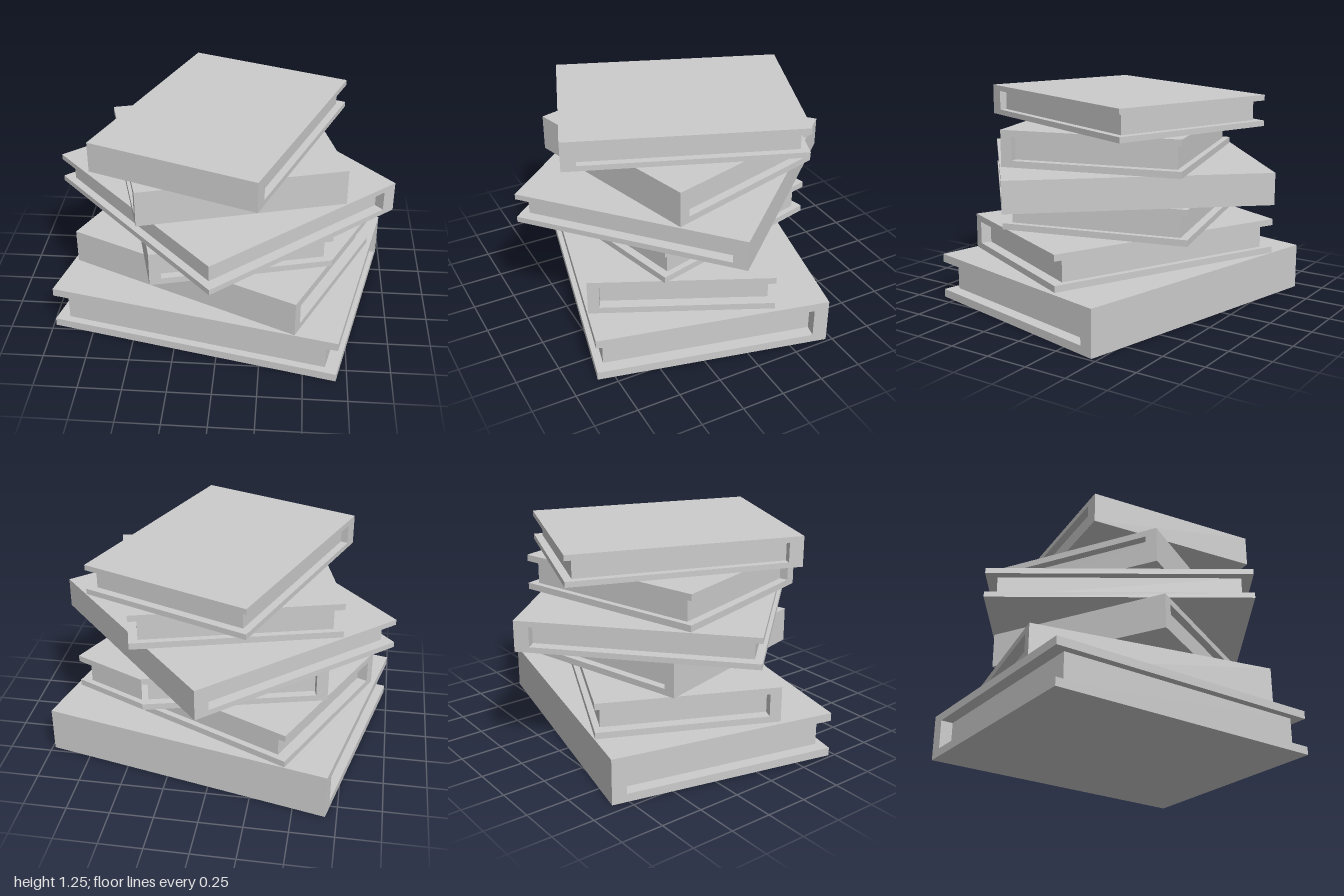
import * as THREE from 'three';

const material = new THREE.MeshStandardMaterial({ color: 0xcccccc });

// Book lying flat, base at y = 0: spine on +z, length along x
function createBook(length, width, height) {
  const book = new THREE.Group();
  const board = height * 0.18;
  const spine = width * 0.063;
  const back = -width / 2;
  const front = width / 2;
  const inner = front - spine;

  // Wrap-around cover: C-shaped section swept along the spine
  const section = new THREE.Shape([
    [back, 0], [front, 0], [front, height], [back, height],
    [back, height - board], [inner, height - board], [inner, board], [back, board],
  ].map(([x, y]) => new THREE.Vector2(x, y)));
  const coverGeometry = new THREE.ExtrudeGeometry(section, { depth: length, bevelEnabled: false });
  coverGeometry.translate(0, 0, -length / 2).rotateY(-Math.PI / 2);
  const cover = new THREE.Mesh(coverGeometry, material);
  cover.name = 'cover';

  // Page block, set back from the three open edges
  const pageBack = back + width * 0.034;
  const pages = new THREE.Mesh(
    new THREE.BoxGeometry(length * 0.914, height - 2 * board, inner - pageBack), material);
  pages.position.set(0, height / 2, (inner + pageBack) / 2);
  pages.name = 'pages';

  book.add(cover, pages);
  return book;
}

export function createModel() {
  const stack = new THREE.Group();
  stack.name = 'bookStack';

  // Bottom to top: spine length, width, base height, top height, turn in degrees
  const books = [
    [1.713, 1.344, 0, 0.27, 167.2],
    [1.474, 1.045, 0.27, 0.48, -25.1],
    [1.105, 1.048, 0.48, 0.685, -75.6],
    [1.48, 1.35, 0.685, 0.865, 132],
    [1.183, 1.043, 0.865, 1.075, 15.5],
    [1.005, 1.353, 1.075, 1.253, -20.8],
  ];
  books.forEach(([length, width, base, top, turn], i) => {
    const book = createBook(length, width, top - base);
    book.name = `book${i + 1}`;
    book.position.y = base;
    book.rotation.y = THREE.MathUtils.degToRad(turn);
    stack.add(book);
  });
  return stack;
}
